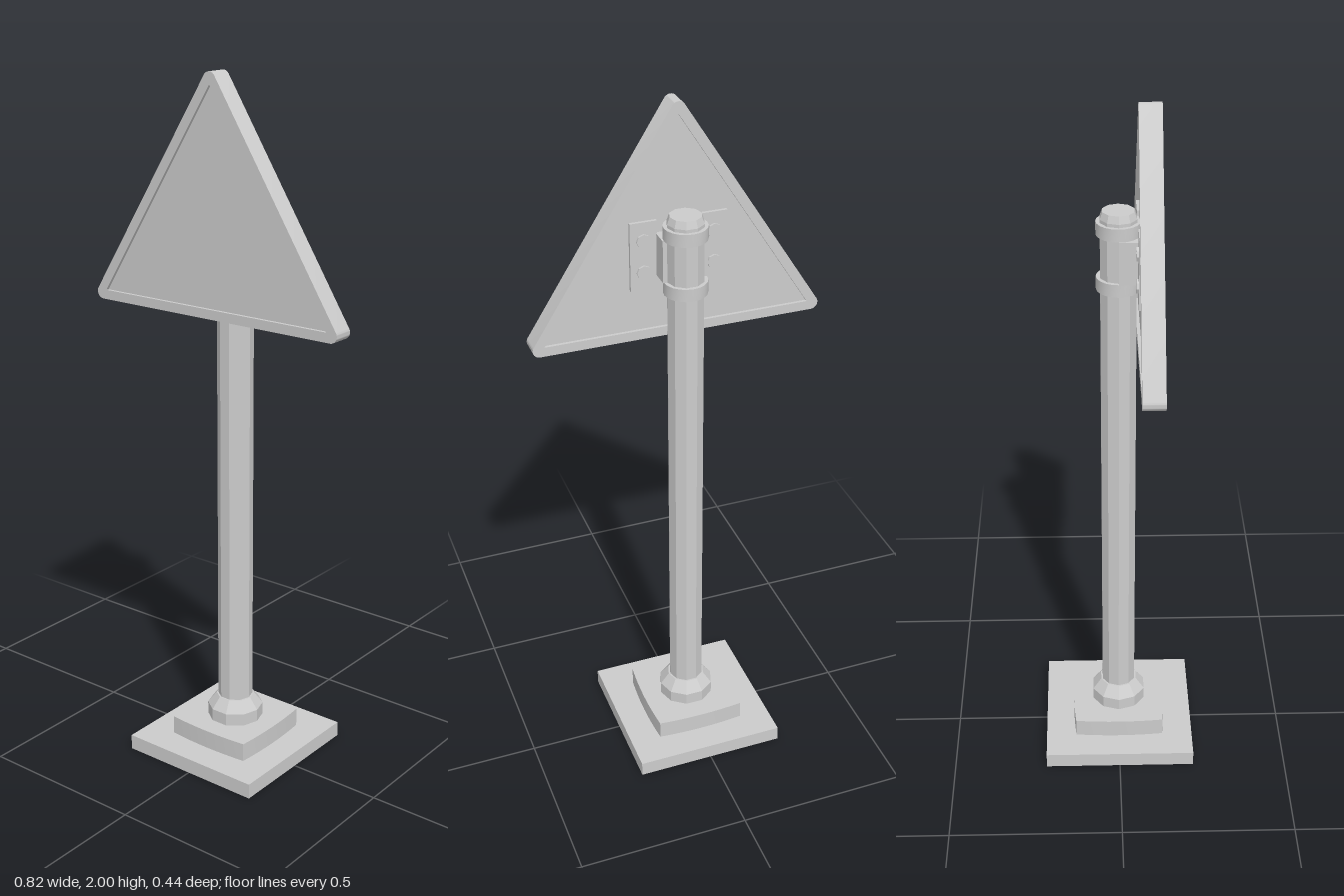
import * as THREE from 'three';
import { toCreasedNormals } from 'three/addons/utils/BufferGeometryUtils.js';

export function createModel() {
  const group = new THREE.Group();
  const flat = new THREE.MeshStandardMaterial({ color: 0xcccccc, flatShading: true });
  const smooth = new THREE.MeshStandardMaterial({ color: 0xcccccc });

  function add(name, geometry, material = flat, x = 0, y = 0, z = 0) {
    const mesh = new THREE.Mesh(geometry, material);
    mesh.name = name;
    mesh.position.set(x, y, z);
    group.add(mesh);
    return mesh;
  }
  const box = (name, w, h, d, x, y, z) => add(name, new THREE.BoxGeometry(w, h, d), flat, x, y, z);
  const extrude = (shape, depth) =>
    new THREE.ExtrudeGeometry(shape, { depth, bevelEnabled: false, curveSegments: 8 });
  // Ten-sided turned part with a corner on the x axis
  const turned = (name, profile) => add(name, new THREE.LatheGeometry(
    profile.map(([r, y]) => new THREE.Vector2(r, y)), 10, Math.PI / 10));

  // Foot: square slab with a slightly bulging block on top
  box('baseSlab', 0.445, 0.045, 0.445, 0, 0.0225, 0);
  const c = 0.132, b = 0.146;
  const block = new THREE.Shape();
  block.moveTo(-c, -c);
  block.quadraticCurveTo(0, -b, c, -c);
  block.quadraticCurveTo(b, 0, c, c);
  block.quadraticCurveTo(0, b, -c, c);
  block.quadraticCurveTo(-b, 0, -c, -c);
  const blockGeometry = extrude(block, 0.055);
  blockGeometry.rotateX(-Math.PI / 2);
  add('baseBlock', toCreasedNormals(blockGeometry, 0.5), smooth, 0, 0.045, 0);

  // Collar and post with chamfered cap
  turned('collar', [[0.082, 0.1], [0.082, 0.137], [0.056, 0.17], [0.0, 0.17]]);
  turned('post', [[0.051, 0.1], [0.051, 1.695], [0.044, 1.715], [0, 1.715]]);

  // Sign: rounded triangular rim around a panel recessed on both sides
  const r = 0.02, apexY = 1.98, footY = 1.365, footX = 0.392;
  const side = Math.atan2(footX, apexY - footY); // angle of the side's outward normal
  const rim = new THREE.Shape();
  rim.absarc(footX, footY, r, -Math.PI / 2, side, false);
  rim.absarc(0, apexY, r, side, Math.PI - side, false);
  rim.absarc(-footX, footY, r, Math.PI - side, Math.PI * 1.5, false);
  rim.closePath();
  const inner = [[-0.379, 1.372], [0, 1.967], [0.379, 1.372]].map(([x, y]) => new THREE.Vector2(x, y));
  rim.holes.push(new THREE.Path(inner));
  add('signRim', toCreasedNormals(extrude(rim, 0.06), 0.6), smooth, 0, 0, 0.05);
  add('signPanel', extrude(new THREE.Shape(inner), 0.042), flat, 0, 0, 0.059);

  // Saddle between post and sign
  box('bracketSaddle', 0.126, 0.12, 0.06, 0, 1.59, 0.03);

  // Bands clamped round the post
  for (const y of [1.512, 1.668]) {
    add('clampBand', toCreasedNormals(new THREE.CylinderGeometry(0.06, 0.06, 0.036, 20), 0.6),
      smooth, 0, y, 0);
  }

  // Bolted plates on the back of the sign
  for (const s of [-1, 1]) {
    box('bracketPlate', 0.075, 0.195, 0.01, s * 0.0985, 1.59, 0.055);
    for (const y of [1.545, 1.635]) {
      const bolt = new THREE.CylinderGeometry(0.02, 0.02, 0.012, 8);
      bolt.rotateX(Math.PI / 2);
      add('bolt', bolt, flat, s * 0.099, y, 0.05);
    }
  }
  return group;
}
